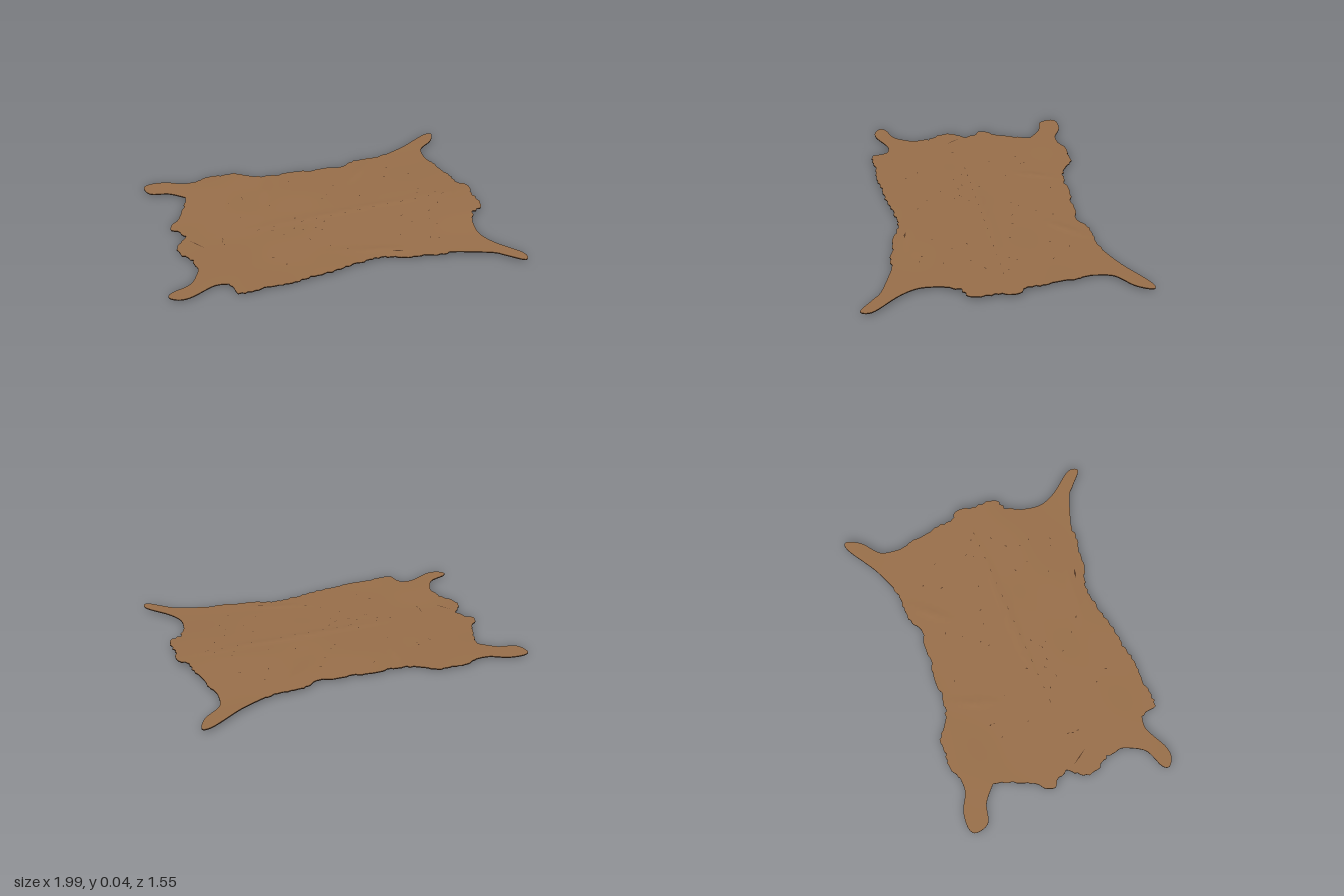
import * as THREE from 'three';

const THICK = 0.006;
const MAX_EDGE = 0.05;

let seed = 11;
const rand = () => {
  seed = (seed * 16807) % 2147483647;
  return seed / 2147483647;
};

// Outline as x, z pairs: smooth legs (even rows) alternate with ragged edges (odd rows)
const OUTLINE = [
  [-.75, -.42, -.84, -.49, -.95, -.52, -.98, -.60, -.94, -.635, -.84, -.63, -.74, -.585, -.655, -.585],
  [-.58, -.62, -.42, -.625, -.25, -.53, 0, -.53, .28, -.51, .34, -.55, .60, -.585],
  [.75, -.655, .93, -.77, .99, -.77, .95, -.68, .85, -.59, .83, -.48],
  [.86, -.35, .91, -.10, .955, -.05, .94, .20, .87, .23, .83, .325],
  [.82, .45, .87, .56, .985, .70, .97, .765, .88, .695, .82, .65, .645, .59],
  [.42, .57, .165, .515, -.03, .56, -.32, .61, -.64, .63, -.67, .53],
  [-.75, .525, -.88, .59, -.95, .598, -1, .565, -.98, .525, -.87, .475, -.815, .38],
  [-.815, .25, -.87, .19, -.89, .12, -.815, 0, -.89, -.11, -.825, -.20, -.755, -.39],
];

// Soft folds: centre x, z, direction, half length
const FOLDS = [[.20, .01, -.04, .65], [.36, -.42, -.9, .16], [-.26, -.36, 1.9, .15], [.22, .45, .25, .22]];

// Height of the sheet's middle surface
function height(x, z) {
  const bulge = Math.max(0, 1 - (z / .62) ** 2) ** 2;
  let y = .016 + .005 * x + bulge * (.004 + .013 * x);
  y += .0008 * Math.sin(9 * x + 4 * z) * Math.cos(11 * z - 3 * x);
  for (const [fx, fz, a, len] of FOLDS) {
    const dx = x - fx, dz = z - fz;
    const along = (dx * Math.cos(a) + dz * Math.sin(a)) / len;
    const across = (dz * Math.cos(a) - dx * Math.sin(a)) / .026;
    y += .0024 * Math.exp(-along * along * 2 - across * across);
  }
  return y;
}

function makeOutline() {
  const path = new THREE.Path();
  path.moveTo(OUTLINE[0][0], OUTLINE[0][1]);
  OUTLINE.forEach((row, r) => {
    const list = [];
    for (let i = r ? 0 : 2; i < row.length; i += 2) list.push(new THREE.Vector2(row[i], row[i + 1]));
    if (r % 2 === 0) {
      path.splineThru(list);
      return;
    }
    // Tattered edge: short steps pushed in and out
    for (const p of list) {
      const from = path.currentPoint.clone();
      const d = p.clone().sub(from);
      const n = Math.ceil(d.length() / .02);
      const side = new THREE.Vector2(d.y, -d.x).normalize();
      for (let i = 1; i < n; i++) {
        const q = from.clone().lerp(p, (i + (rand() - .5) * .4) / n);
        q.addScaledVector(side, (rand() - .45) * .013 + .005 * Math.sin(30 * (q.x + q.y)));
        path.lineTo(q.x, q.y);
      }
      path.lineTo(p.x, p.y);
    }
  });
  return path.getPoints(6);
}

// Triangulate the outline and halve long edges so the sheet can bend
function triangulate(points) {
  const stack = THREE.ShapeUtils.triangulateShape(points, []).map((f) => f.map((i) => points[i]));
  const done = [];
  while (stack.length) {
    const t = stack.pop();
    const len = t.map((p, i) => p.distanceTo(t[(i + 1) % 3]));
    const k = len.indexOf(Math.max(...len));
    if (len[k] <= MAX_EDGE) {
      done.push(t);
      continue;
    }
    const a = t[k], b = t[(k + 1) % 3], c = t[(k + 2) % 3];
    const m = a.clone().add(b).multiplyScalar(.5);
    stack.push([a, m, c], [m, b, c]);
  }
  return done;
}

// One face of the hide: sign +1 looks up, -1 looks down
function skinGeometry(triangles, sign, lift) {
  const pos = [], nor = [], e = .004;
  for (const [a, b, c] of triangles) {
    const cross = (b.x - a.x) * (c.y - a.y) - (b.y - a.y) * (c.x - a.x);
    for (const p of cross * sign < 0 ? [a, b, c] : [a, c, b]) {
      pos.push(p.x, height(p.x, p.y) + lift, p.y);
      const n = new THREE.Vector3(
        (height(p.x - e, p.y) - height(p.x + e, p.y)) / (2 * e), 1,
        (height(p.x, p.y - e) - height(p.x, p.y + e)) / (2 * e)).normalize().multiplyScalar(sign);
      nor.push(n.x, n.y, n.z);
    }
  }
  const g = new THREE.BufferGeometry();
  g.setAttribute('position', new THREE.Float32BufferAttribute(pos, 3));
  g.setAttribute('normal', new THREE.Float32BufferAttribute(nor, 3));
  return g;
}

// Cut edge joining the two faces
function rimGeometry(points) {
  const pos = [], idx = [];
  points.forEach((p, i) => {
    const y = height(p.x, p.y), j = (i + 1) % points.length;
    pos.push(p.x, y + THICK / 2, p.y, p.x, y - THICK / 2, p.y);
    idx.push(2 * i, 2 * j, 2 * i + 1, 2 * j, 2 * j + 1, 2 * i + 1);
  });
  const g = new THREE.BufferGeometry();
  g.setAttribute('position', new THREE.Float32BufferAttribute(pos, 3));
  g.setIndex(idx);
  g.computeVertexNormals();
  return g;
}

// Small scars: thin diamonds lying on the upper face
function scarTriangles() {
  const tris = [];
  const scar = (x, z, a, l, w) => {
    const at = (u, v) => new THREE.Vector2(x + u * Math.cos(a) - v * Math.sin(a), z + u * Math.sin(a) + v * Math.cos(a));
    const A = at(-l, 0), B = at(0, w), C = at(l, 0), D = at(0, -w);
    tris.push([A, B, C], [A, C, D]);
  };
  for (let i = 0; i < 45; i++) {
    scar(-.7 + 1.5 * rand(), -.46 + .92 * rand(), rand() * 3, .004 + .007 * rand(), .002 + .002 * rand());
  }
  for (let i = 0; i < 14; i++) scar(-.4 + i * .09, .06 - i * .005, -.1, .006 + .012 * rand(), .002);
  scar(-.77, .10, .95, .06, .003);
  scar(.31, .49, .2, .03, .006);
  return tris;
}

export function createModel() {
  const tan = new THREE.MeshStandardMaterial({ color: 0x9a704b });
  tan.name = 'tan leather';
  const dark = new THREE.MeshStandardMaterial({ color: 0x563a26, side: THREE.DoubleSide });
  dark.name = 'dark leather';

  const hide = new THREE.Group();
  hide.name = 'animalHide';
  const outline = makeOutline();
  const triangles = triangulate(outline);

  const add = (name, geometry, material) => {
    const mesh = new THREE.Mesh(geometry, material);
    mesh.name = name;
    hide.add(mesh);
  };
  add('upperFace', skinGeometry(triangles, 1, THICK / 2), tan);
  add('underside', skinGeometry(triangles, -1, -THICK / 2), tan);
  add('cutEdge', rimGeometry(outline), dark);
  add('scars', skinGeometry(scarTriangles(), 1, THICK / 2 + .001), dark);

  // Rest the lowest point on the ground
  const low = new THREE.Box3().setFromObject(hide).min.y;
  hide.children.forEach((m) => m.geometry.translate(0, -low, 0));
  return hide;
}
